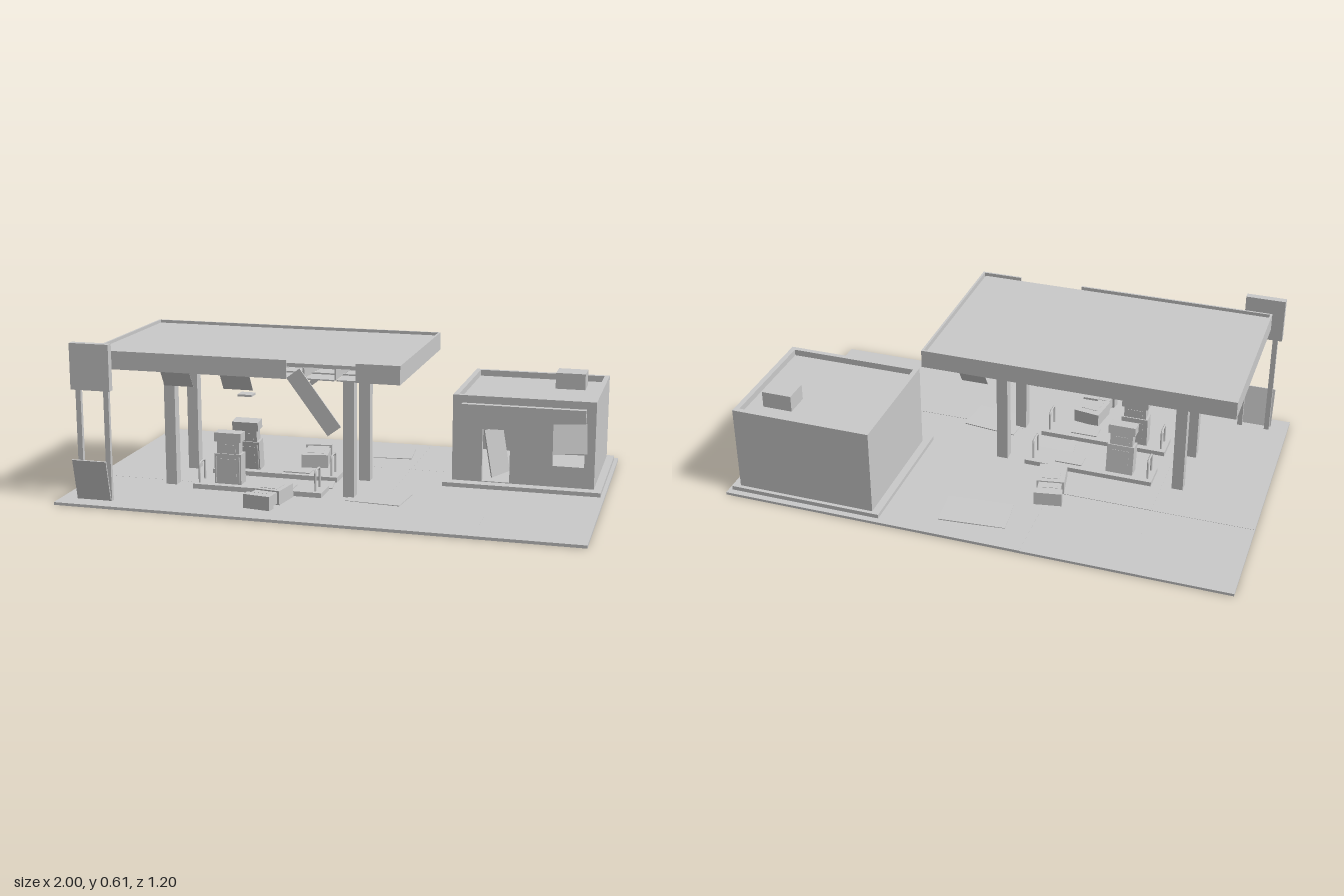
import * as THREE from 'three';

export function createModel() {
  const root = new THREE.Group();
  root.name = 'ruinedFuelStation';
  const grey = new THREE.MeshStandardMaterial({ color: 0xcacaca });
  grey.name = 'weatheredGrey';

  let seed = 11;
  const rand = () => (seed = (seed * 16807) % 2147483647) / 2147483647;

  const add = (name, geo, parent = root) => {
    const m = new THREE.Mesh(geo, grey);
    m.name = name;
    parent.add(m);
    return m;
  };
  // Box given by its minimum and maximum corners
  const box = (name, x0, x1, y0, y1, z0, z1, parent = root) => {
    const m = add(name, new THREE.BoxGeometry(x1 - x0, y1 - y0, z1 - z0), parent);
    m.position.set((x0 + x1) / 2, (y0 + y1) / 2, (z0 + z1) / 2);
    return m;
  };
  const group = (name, x, y, z) => {
    const g = new THREE.Group();
    g.name = name;
    g.position.set(x, y, z);
    root.add(g);
    return g;
  };
  const tube = (name, pts, r, parent) => add(name, new THREE.TubeGeometry(
    new THREE.CatmullRomCurve3(pts.map(p => new THREE.Vector3(...p)), false, 'catmullrom', 0.2), 16, r, 6), parent);

  // Cracked forecourt: base sheet with uneven paving slabs
  box('groundBase', -1, 1, 0, 0.007, -0.6, 0.6);
  for (let i = 0; i < 5; i++) for (let j = 0; j < 3; j++) {
    const x = -1 + i * 0.4, z = -0.6 + j * 0.4;
    box('pavingSlab', x, x + 0.4, 0.007, 0.01 + rand() * 0.002, z, z + 0.4);
  }
  for (const [x, z, w, d, yaw] of [[0.03, -0.42, 0.26, 0.16, 0.1], [0.17, 0.23, 0.22, 0.16, -0.1], [-0.12, 0.12, 0.16, 0.1, 0.15]]) {
    const s = add('liftedSlab', new THREE.BoxGeometry(w, 0.004, d));
    s.position.set(x, 0.012, z);
    s.rotation.set(0.01, yaw, 0.01);
  }

  // Canopy deck and fascia, with a broken stretch along the front
  box('canopyDeck', -0.892, 0.292, 0.55, 0.563, -0.237, 0.452);
  box('fasciaFrontLong', -0.9, -0.12, 0.505, 0.575, 0.455, 0.463);
  box('fasciaFrontShort', 0.14, 0.305, 0.505, 0.575, 0.455, 0.463);
  box('fasciaBack', -0.9, 0.305, 0.505, 0.575, -0.245, -0.237);
  box('fasciaLeft', 0.297, 0.305, 0.505, 0.575, -0.237, 0.455);
  box('fasciaRight', -0.9, -0.892, 0.505, 0.575, -0.237, 0.455);
  const fallen = add('hangingFascia', new THREE.BoxGeometry(0.26, 0.062, 0.006));
  fallen.position.set(-0.015, 0.425, 0.466);
  fallen.rotation.z = -0.93;

  // Ceiling grid with missing panels
  const cx = 0.119, cz = 0.0985;
  for (let i = 1; i < 10; i++) box('ceilingRunner', -0.893 + i * cx, -0.887 + i * cx, 0.508, 0.55, -0.237, 0.453);
  for (let j = 1; j < 7; j++) box('ceilingCrossBar', -0.892, 0.297, 0.505, 0.513, -0.238 + j * cz, -0.232 + j * cz);
  for (let i = 0; i < 10; i++) for (let j = 0; j < 7; j++) {
    if (rand() < 0.3) continue;
    box('ceilingPanel', -0.886 + i * cx, -0.776 + i * cx, 0.503, 0.508, -0.23 + j * cz, -0.143 + j * cz);
  }

  // Ceiling panels swinging from one edge: hinge x, hinge z, direction, width
  const hang = [
    [-0.6, 0.36, Math.PI, 0.118], [-0.36, 0.36, Math.PI, 0.118], [0.125, -0.205, 0, 0.105],
    [-0.06, 0.218, -Math.PI / 2, 0.094], [-0.06, 0.125, -Math.PI / 2, 0.09],
    [-0.54, 0.028, Math.PI / 2, 0.094], [-0.06, -0.07, -Math.PI / 2, 0.084],
    [-0.54, -0.16, Math.PI / 2, 0.09],
  ];
  for (const [x, z, yaw, w] of hang) {
    const g = group('hangingPanel', x, 0.505, z);
    g.rotation.set(1.02, yaw, 0, 'YXZ');
    box('panel', -w / 2, w / 2, -0.0006, 0.0006, 0, 0.1, g);
  }
  // Loose lamps below the ceiling
  for (const [z, d] of [[0.313, 0.048], [-0.065, 0.09]]) {
    box('looseLamp', -0.353, -0.297, 0.4, 0.408, z - d / 2, z + d / 2);
  }

  // Columns
  for (const x of [-0.662, 0.058]) for (const z of [0.233, -0.01]) {
    box('canopyColumn', x - 0.022, x + 0.022, 0.01, 0.55, z - 0.021, z + 0.021);
  }

  // Pump with its base at the group's origin
  const pump = (x, y, z, rx, ry) => {
    const g = group('fuelPump', x, y, z);
    g.rotation.set(rx, ry, 0, 'YXZ');
    box('pumpBody', -0.054, 0.054, 0, 0.12, -0.027, 0.027, g);
    box('pumpNeck', -0.045, 0.045, 0.12, 0.168, -0.022, 0.022, g);
    box('pumpHead', -0.054, 0.054, 0.168, 0.203, -0.027, 0.027, g);
    for (const s of [-1, 1]) {
      box('pumpScreen', -0.032, 0.032, 0.128, 0.156, s * 0.0225 - 0.001, s * 0.0225 + 0.001, g);
      box('pumpPanel', -0.034, 0.034, 0.03, 0.1, s * 0.0275 - 0.001, s * 0.0275 + 0.001, g);
    }
    return g;
  };
  // Islands, guard hoops and standing pumps
  for (const z of [0.235, 0.01]) {
    box('pumpIsland', -0.56, -0.04, 0.01, 0.03, z - 0.055, z + 0.055);
    for (const x of [-0.54, -0.07]) {
      tube('guardHoop', [[x, 0.03, z - 0.03], [x, 0.1, z - 0.03], [x, 0.11, z - 0.022],
        [x, 0.11, z + 0.022], [x, 0.1, z + 0.03], [x, 0.03, z + 0.03]], 0.0045);
    }
    box('pumpSocket', -0.27, -0.16, 0.03, 0.034, z - 0.03, z + 0.03);
    const leaning = z < 0.1;
    const p = pump(-0.425, 0.03, leaning ? 0 : 0.233, leaning ? 0.13 : 0, 0);
    for (const s of [-1, 1]) {
      tube('pumpHose', [[s * 0.045, 0.11, 0.027], [s * 0.048, 0.095, 0.03], [s * 0.048, 0.006, 0.03]], 0.0025, p);
    }
  }
  // Toppled pumps
  pump(-0.195, 0.044, 0.312, Math.PI / 2, -0.15);
  pump(-0.18, 0.044, -0.1, -Math.PI / 2, 0.18);

  // Roadside sign with a slipped lower board
  box('signBoard', -0.942, -0.785, 0.435, 0.612, 0.508, 0.536);
  for (const x of [-0.915, -0.803]) box('signPost', x - 0.01, x + 0.01, 0.01, 0.436, 0.514, 0.53);
  const board = add('slippedSignBoard', new THREE.BoxGeometry(0.136, 0.163, 0.006));
  board.position.set(-0.862, 0.094, 0.553);
  board.rotation.x = 0.21;

  // Hollow shop: front wall with door and window openings
  box('shopPlinth', 0.37, 0.985, 0.01, 0.027, -0.575, 0.005);
  const front = new THREE.Shape();
  const rect = (path, x0, x1, y0, y1) => path.moveTo(x0, y0).lineTo(x1, y0).lineTo(x1, y1).lineTo(x0, y1).closePath();
  rect(front, 0.4, 0.955, 0.027, 0.37);
  for (const r of [[0.518, 0.627, 0.03, 0.24], [0.793, 0.915, 0.11, 0.27]]) {
    const hole = new THREE.Path();
    rect(hole, ...r);
    front.holes.push(hole);
  }
  add('shopFrontWall', new THREE.ExtrudeGeometry(front, { depth: 0.02, bevelEnabled: false })).position.z = -0.06;
  box('shopBackWall', 0.4, 0.955, 0.027, 0.37, -0.56, -0.54);
  for (const x of [0.4, 0.935]) box('shopSideWall', x, x + 0.02, 0.027, 0.37, -0.54, -0.06);
  box('shopRoof', 0.42, 0.935, 0.33, 0.345, -0.54, -0.06);
  box('roofUnit', 0.757, 0.876, 0.345, 0.41, -0.462, -0.363);
  box('shopSignBand', 0.438, 0.918, 0.288, 0.34, -0.04, -0.015);
  const door = add('brokenDoor', new THREE.BoxGeometry(0.1, 0.19, 0.006));
  door.position.set(0.566, 0.138, -0.105);
  door.rotation.set(0, 0.95, 0.17, 'ZYX');
  const cover = add('looseWindowBoard', new THREE.BoxGeometry(0.13, 0.118, 0.004));
  cover.position.set(0.862, 0.226, -0.012);
  cover.rotation.set(-0.46, 0, 0.08);

  return root;
}
